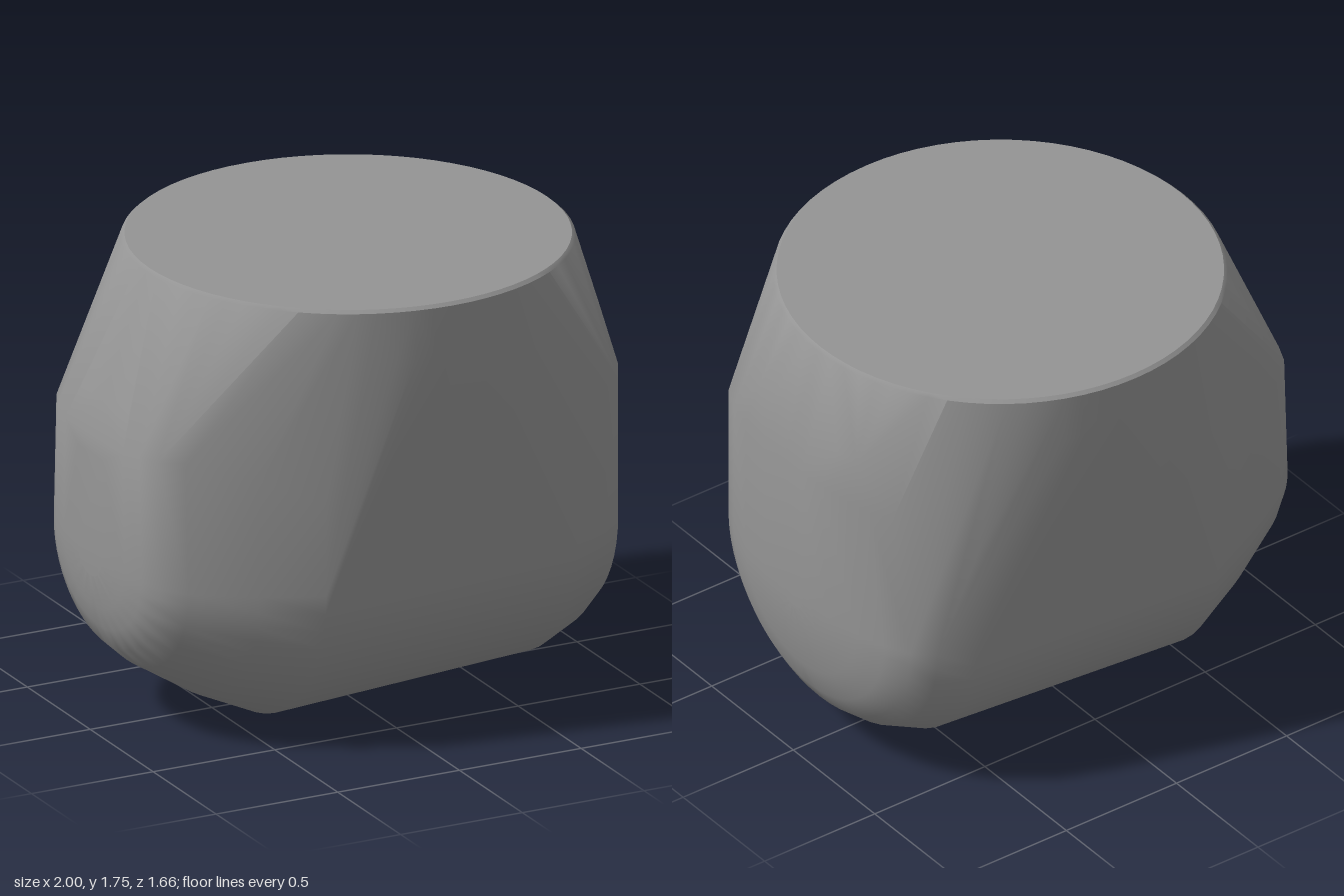
import * as THREE from 'three';
import { ConvexGeometry } from 'three/addons/geometries/ConvexGeometry.js';
import { toCreasedNormals } from 'three/addons/utils/BufferGeometryUtils.js';

// U-shaped cross-sections: x, half width, bottom, arc centre height, wall top
const SECTIONS = [
  [-1.0, 0.1, 0.60, 0.70, 1.08],
  [-0.985, 0.24, 0.48, 0.69, 1.14],
  [-0.965, 0.34, 0.40, 0.68, 1.16],
  [-0.93, 0.425, 0.32, 0.67, 1.16],
  [-0.85, 0.49, 0.245, 0.66, 1.16],
  [-0.62, 0.615, 0.1, 0.65, 1.1],
  [-0.4, 0.715, 0, 0.65, 1.0],
  [0.66, 0.665, 0.06, 0.68, 1.1],
  [0.8, 0.615, 0.125, 0.69, 1.22],
  [0.88, 0.56, 0.19, 0.70, 1.24],
  [0.93, 0.46, 0.27, 0.70, 1.25],
  [0.965, 0.34, 0.38, 0.70, 1.26],
  [0.99, 0.19, 0.53, 0.70, 1.27],
  [1.0, 0.06, 0.64, 0.72, 1.27],
];

// Horizontal circles of the round top with its small chamfer: height, radius
const RIM = [[1.755, 0.817], [1.743, 0.83], [1.56, 0.83]];

// Soft upper shoulders of the two ends: x, y, half width
const SHOULDERS = [[0.96, 1.43, 0.3], [-0.95, 1.27, 0.28]];

// How far the wall tops lean inwards; the left back corner leans most
function wallTaper(x, side) {
  if (x > 0.7) return side < 0 ? 0.8 : 1;
  return x < -0.8 ? 0.95 : 1;
}

function createBodyGeometry() {
  const points = [];
  const add = (x, y, z) => points.push(new THREE.Vector3(x, y, z));

  for (const [x, w, bottom, mid, top] of SECTIONS) {
    const n = 28;
    for (let i = 0; i <= n; i++) {
      const a = (i / n) * Math.PI;
      add(x, mid - (mid - bottom) * Math.sin(a), w * Math.cos(a));
    }
    for (const side of [-1, 1]) add(x, top, side * w * wallTaper(x, side));
  }

  for (const [y, r] of RIM) {
    const n = 72;
    for (let i = 0; i < n; i++) {
      const a = (i / n) * Math.PI * 2;
      add(0.06 + r * Math.cos(a), y, r * Math.sin(a));
    }
  }

  for (const [x, y, w] of SHOULDERS) {
    for (let i = -3; i <= 3; i++) {
      const t = i / 3;
      add(x - Math.sign(x) * 0.025 * t * t, y, w * t);
    }
  }

  return toCreasedNormals(new ConvexGeometry(points), 0.65);
}

export function createModel() {
  const model = new THREE.Group();
  model.name = 'roundedBlock';

  // Solid with a flat round top, bulged ends and a U-shaped underside
  const body = new THREE.Mesh(
    createBodyGeometry(),
    new THREE.MeshStandardMaterial({ color: 0x949494 })
  );
  body.name = 'body';
  model.add(body);
  return model;
}
